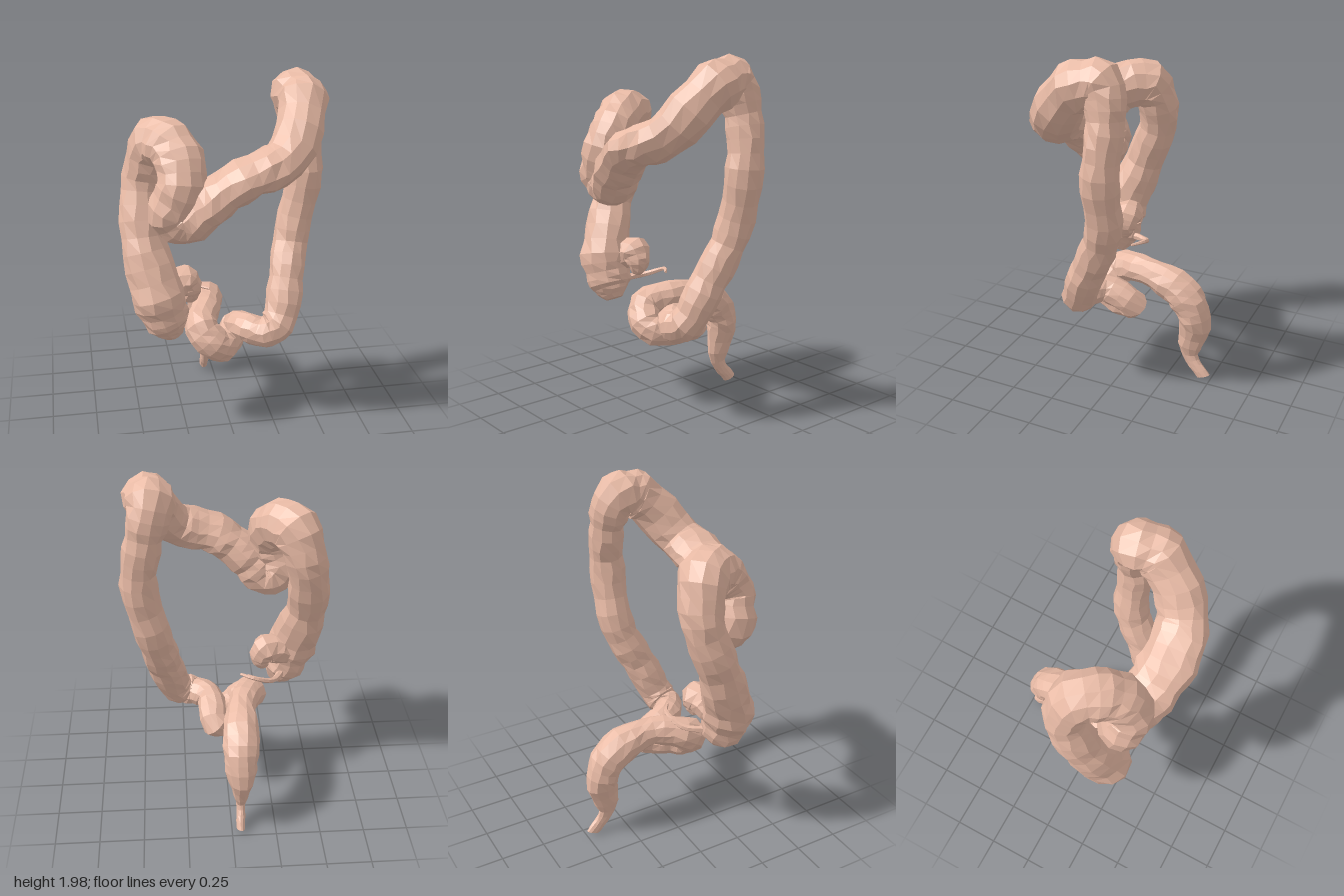
import * as THREE from 'three';

const STEPS = 4; // rings per path point

// Path points: x, y, z, radius and, where the tube is not round, depth stretch
const bowel = [
  // cecum and ascending limb
  [-0.30, 0.61, 0.22, 0.05], [-0.34, 0.69, 0.22, 0.12], [-0.39, 0.85, 0.215, 0.145],
  [-0.455, 1.15, 0.11, 0.115], [-0.435, 1.45, 0.01, 0.11],
  // arch folding forward and down
  [-0.37, 1.655, 0.06, 0.135], [-0.28, 1.63, 0.19, 0.13], [-0.26, 1.49, 0.29, 0.125],
  [-0.315, 1.33, 0.27, 0.125], [-0.24, 1.28, 0.27, 0.12],
  // transverse limb
  [-0.12, 1.39, 0.31, 0.112, 1.3], [0.05, 1.52, 0.34, 0.107, 1.4], [0.27, 1.6, 0.3, 0.115, 1.2],
  // upper left bend
  [0.405, 1.84, 0.1, 0.13], [0.39, 1.865, -0.03, 0.125], [0.43, 1.7, -0.075, 0.098],
  // descending limb
  [0.47, 1.43, -0.06, 0.1], [0.4, 1.08, -0.04, 0.097], [0.35, 0.83, 0.07, 0.1], [0.28, 0.6, 0.17, 0.097],
  // sigmoid loop
  [0.2, 0.56, 0.185, 0.085], [0.1, 0.57, 0.11, 0.08], [0.075, 0.49, -0.06, 0.08],
  [0.02, 0.46, 0.06, 0.08], [-0.05, 0.48, 0.16, 0.09], [-0.145, 0.58, 0.12, 0.095],
  // rectum
  [-0.08, 0.63, -0.08, 0.078], [-0.06, 0.56, -0.3, 0.105], [-0.055, 0.41, -0.392, 0.09],
  [-0.055, 0.16, -0.365, 0.026, 2], [-0.05, 0.035, -0.455, 0.025, 2],
];

const stub = [
  [-0.36, 0.83, 0.16, 0.08], [-0.24, 0.88, 0.12, 0.09], [-0.205, 0.82, 0.12, 0.065], [-0.22, 0.76, 0.12, 0.03],
];

const appendix = [
  [-0.33, 0.71, 0.13, 0.022], [-0.26, 0.73, 0.01, 0.016], [-0.15, 0.775, -0.025, 0.012], [-0.08, 0.775, 0.02, 0.007],
];

// Small seeded noise in -1..1 for the uneven wall
function makeNoise(seed) {
  return () => {
    seed = (seed * 16807) % 2147483647;
    return (seed / 2147483647) * 2 - 1;
  };
}

// Rings of vertices carried along the path without twisting
function makeRings(path, sides, lumps) {
  const noise = makeNoise(71);
  const { lerp } = THREE.MathUtils;
  const curve = new THREE.CatmullRomCurve3(path.map(([x, y, z]) => new THREE.Vector3(x, y, z)), false, 'centripetal');
  const count = (path.length - 1) * STEPS;
  const normal = new THREE.Vector3(0.3, 0.2, 1);
  const rings = [];
  for (let i = 0; i <= count; i++) {
    const k = Math.min(Math.floor(i / STEPS), path.length - 2);
    const f = i / STEPS - k;
    const [, , , r0, s0 = 1] = path[k];
    const [, , , r1, s1 = 1] = path[k + 1];
    const centre = curve.getPoint(i / count);
    const tangent = curve.getTangent(i / count);
    normal.addScaledVector(tangent, -normal.dot(tangent)).normalize();
    const side = tangent.clone().cross(normal);
    // every third ring is drawn in, leaving pouches between
    const radius = lerp(r0, r1, f) * (1 + lumps * (i % 3 === 0 ? -0.6 : 0.5));
    const points = [];
    for (let j = 0; j < sides; j++) {
      const a = ((j + noise() * lumps * 3) / sides) * Math.PI * 2;
      const offset = normal.clone().multiplyScalar(Math.cos(a)).addScaledVector(side, Math.sin(a));
      offset.multiplyScalar(radius * (1 + noise() * lumps));
      offset.z *= lerp(s0, s1, f);
      points.push(offset.add(centre));
    }
    rings.push({ centre, points });
  }
  return rings;
}

// Skin a run of rings, closing the chosen ends
function skin(rings, capStart, capEnd) {
  const sides = rings[0].points.length;
  const last = (rings.length - 1) * sides;
  const vertices = rings.flatMap((r) => r.points);
  vertices.push(rings[0].centre, rings[rings.length - 1].centre);
  const index = [];
  for (let j = 0; j < sides; j++) {
    const n = (j + 1) % sides;
    for (let i = 0; i < last; i += sides) {
      index.push(i + j, i + n, i + sides + j, i + n, i + sides + n, i + sides + j);
    }
    if (capStart) index.push(last + sides, n, j);
    if (capEnd) index.push(last + sides + 1, last + j, last + n);
  }
  const geometry = new THREE.BufferGeometry().setFromPoints(vertices);
  geometry.setIndex(index);
  geometry.computeVertexNormals();
  return geometry;
}

export function createModel() {
  const group = new THREE.Group();
  const material = new THREE.MeshStandardMaterial({ color: 0xe9bba6, flatShading: true });
  const add = (name, geometry) => {
    const mesh = new THREE.Mesh(geometry, material);
    mesh.name = name;
    group.add(mesh);
  };

  // Main tube, split into named stretches that share their border rings
  const rings = makeRings(bowel, 11, 0.05);
  const end = bowel.length - 1;
  const stretches = [
    ['ascendingColon', 0, 4], ['rightFlexure', 4, 9], ['transverseColon', 9, 13], ['leftFlexure', 13, 15],
    ['descendingColon', 15, 19], ['sigmoidColon', 19, 25], ['rectum', 25, end],
  ];
  stretches.forEach(([name, a, b]) => {
    add(name, skin(rings.slice(a * STEPS, b * STEPS + 1), a === 0, b === end));
  });

  // Side branches at the cecum
  add('smallBowelStub', skin(makeRings(stub, 9, 0.05), true, true));
  add('appendix', skin(makeRings(appendix, 6, 0.03), true, true));
  return group;
}
